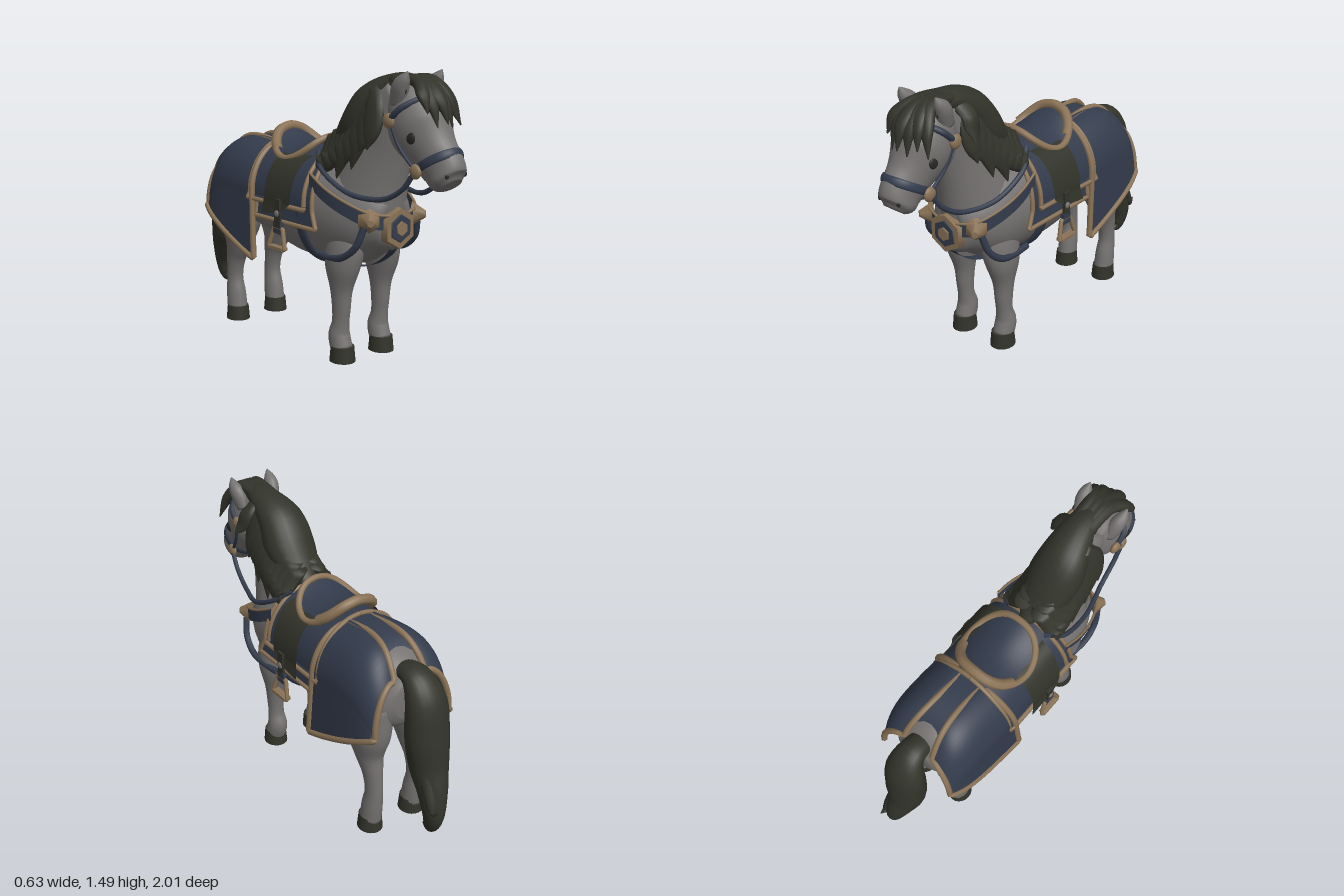
import * as THREE from 'three';
import { ParametricGeometry } from 'three/addons/geometries/ParametricGeometry.js';

const V3 = (x, y, z) => new THREE.Vector3(x, y, z);
const material = (name, color, side = THREE.FrontSide) =>
  Object.assign(new THREE.MeshStandardMaterial({ color, side }), { name });

// Smooth skin over elliptical sections [x, y, z, half width, half depth], square to the path in the yz plane
function loft(sections, { steps = 6, sides = 20 } = {}) {
  const path = new THREE.CatmullRomCurve3(sections.map(s => V3(s[0], s[1], s[2])), false, 'catmullrom');
  const size = new THREE.CatmullRomCurve3(sections.map(s => V3(s[3], s[4], 0)), false, 'catmullrom');
  const n = (sections.length - 1) * steps, pos = [], index = [];
  const rows = [[0, 0], ...Array.from({ length: n + 1 }, (_, i) => [i / n, 1]), [1, 0]];
  for (const [t, k] of rows) {
    const p = path.getPoint(t), r = size.getPoint(t), d = path.getTangent(t);
    const len = Math.hypot(d.y, d.z) || 1;
    for (let j = 0; j < sides; j++) {
      const a = j / sides * Math.PI * 2, c = Math.cos(a) * Math.max(r.x, 0) * k, s = Math.sin(a) * Math.max(r.y, 0) * k;
      pos.push(p.x + c, p.y + s * d.z / len, p.z - s * d.y / len);
    }
  }
  for (let i = 0; i < rows.length - 1; i++) for (let j = 0; j < sides; j++) {
    const a = i * sides + j, b = i * sides + (j + 1) % sides;
    index.push(a, b, a + sides, b, b + sides, a + sides);
  }
  const g = new THREE.BufferGeometry();
  g.setAttribute('position', new THREE.Float32BufferAttribute(pos, 3));
  g.setIndex(index);
  g.computeVertexNormals();
  return g;
}

const tube = (points, r, closed = false, tension = 0.5, segs = 60) =>
  new THREE.TubeGeometry(new THREE.CatmullRomCurve3(points, closed, 'catmullrom', tension), segs, r, 8, closed);

// Flat strap wrapped round an oval of half width rx and half height ry
const wrap = (rx, ry, halfWidth) => new THREE.TorusGeometry(1, .07, 10, 48).scale(rx, ry, halfWidth / .07);

// Cloth hanging over one side: u runs front to back, t from the spine to the hem
const drape = ({ s, x0, w, top, drop, hem, zf, zr, taper = 0 }) => (u, t, out) => {
  const a = Math.min(t * 2, 1) * Math.PI / 2, crown = top(u), inner = x0(u);
  const x = inner + (w - inner) * Math.sin(a) * (1 - taper * u ** 6) + Math.max(t - 0.5, 0) * 0.02;
  const y = t <= 0.5 ? crown - drop * (1 - Math.cos(a)) : THREE.MathUtils.lerp(crown - drop, hem(u), t * 2 - 1);
  return out.set(s * x, y, THREE.MathUtils.lerp(zf(t), zr(t), u));
};

export function createModel() {
  const grey = material('coat grey', 0x757271);
  const dark = material('dark hair and leather', 0x32332a, THREE.DoubleSide);
  const blue = material('navy cloth', 0x333b4c, THREE.DoubleSide);
  const tan = material('tan trim', 0x8a7256);
  const black = material('eye black', 0x292928);
  const horse = new THREE.Group();
  horse.name = 'horse';
  const add = (name, geo, mat, p) => {
    const m = new THREE.Mesh(geo, mat);
    m.name = name;
    if (p) m.position.set(...p);
    horse.add(m);
    return m;
  };
  const ball = (name, mat, r, p, scale) => add(name, new THREE.SphereGeometry(r, 16, 12), mat, p).scale.set(...scale);

  // Body, neck and head
  add('torso', loft([[0, .8, -.7, .09, .1], [0, .8, -.64, .19, .18], [0, .81, -.5, .235, .24], [0, .8, -.3, .235, .245],
    [0, .765, -.05, .235, .28], [0, .76, .15, .235, .28], [0, .75, .35, .22, .26], [0, .74, .48, .18, .2],
    [0, .72, .57, .11, .13], [0, .72, .6, .05, .06]], { sides: 32 }), grey);
  add('neck', loft([[0, .78, .36, .19, .24], [0, .95, .42, .155, .2], [0, 1.12, .49, .125, .165],
    [0, 1.28, .56, .11, .14], [0, 1.38, .64, .09, .1]], { sides: 28 }), grey);
  add('head', loft([[0, 1.41, .63, .08, .08], [0, 1.33, .69, .125, .13], [0, 1.22, .745, .138, .165], [0, 1.12, .83, .105, .125],
    [0, 1.05, .895, .088, .115], [0, 1, .925, .085, .092], [0, .975, .945, .055, .05]], { sides: 28 }), grey);

  // Mane core along the crest, and the tail
  add('maneCore', loft([[.01, 1.41, .76, .05, .035], [.02, 1.415, .6, .08, .06], [0, 1.33, .45, .125, .1], [0, 1.2, .36, .14, .115],
    [0, 1.1, .24, .1, .07], [0, 1.06, .14, .03, .02]]), dark);
  add('tail', loft([[0, .95, -.62, .06, .04], [0, .945, -.73, .08, .06], [-.01, .84, -.795, .11, .085], [-.01, .66, -.815, .115, .1],
    [-.015, .5, -.835, .1, .1], [-.005, .38, -.885, .075, .085], [.01, .26, -.92, .05, .065], [.01, .17, -.9, .03, .04],
    [.01, .15, -.85, .004, .004]]), dark);
  add('tailCurl', loft([[.02, .5, -.86, .05, .05], [.04, .37, -.93, .035, .03], [.05, .31, -.96, .02, .02], [.05, .33, -1, .002, .002]]), dark);

  // Forelock strands fanning over the brow
  for (let i = 0; i < 6; i++) {
    const x = (i - 2.1) * .038, drop = [-.02, .05, .03, .05, .02, .05][i];
    add('forelockStrand', loft([[x * .4 + .01, 1.43, .58, .035, .03], [x * .5 + .01, 1.44, .74, .038, .03],
      [x * .95, 1.38 - drop * .4, .862 - Math.abs(x) * .4, .038, .026],
      [x * 1.25 + .01, 1.285 - drop, .915 - Math.abs(x) * .5, .003, .003]], { sides: 10 }), dark);
  }
  add('templeStrand', loft([[.05, 1.42, .58, .04, .04], [.13, 1.36, .57, .03, .05], [.16, 1.29, .58, .02, .045], [.2, 1.24, .6, .002, .003]], { sides: 10 }), dark);

  for (const s of [-1, 1]) {
    // Strands down each side of the neck
    for (let i = 0; i < 8; i++) {
      const k = i / 7, z = .52 - .29 * k, y = 1.39 - .25 * k - .06 * k * (1 - k), tip = [.03, .04, -.03, .01, -.05, .03, 0, .03][i];
      add('maneStrand', loft([[s * .05, y + .01, z - .03, .045, .05], [s * (.1 + .03 * k), y - .09, z + .01 * (1 - k), .034, .07],
        [s * (.13 + .03 * k), y - .2 + .07 * k, z + .02 - .03 * k, .026, .06],
        [s * (.155 + .02 * k), y - .31 + .13 * k + tip, z + .02 - .07 * k, .002, .003]], { sides: 10 }), dark);
    }

    // Ears
    add('ear', loft([[s * .092, 1.33, .68, .034, .045], [s * .105, 1.41, .71, .04, .046], [s * .112, 1.455, .742, .028, .03],
      [s * .113, 1.49, .765, .003, .003]], { sides: 14 }), grey);
    ball('innerEar', black, .02, [s * .11, 1.415, .748], [.5, 1.4, .4]);

    // Eyes and nostrils
    ball('eye', black, .028, [s * .122, 1.19, .8], [.35, 1, 1]);
    ball('nostril', black, .014, [s * .06, 1.03, .972], [.8, 1, .6]);

    // Legs and hooves
    add('frontLeg', loft([[s * .1, .74, .36, .06, .08], [s * .118, .62, .355, .082, .115], [s * .133, .5, .345, .076, .105], [s * .135, .38, .34, .054, .065],
      [s * .135, .28, .34, .045, .052], [s * .135, .2, .335, .044, .047], [s * .135, .13, .325, .054, .06], [s * .135, .06, .345, .055, .06]]), grey);
    add('backLeg', loft([[s * .13, .75, -.52, .11, .16], [s * .135, .58, -.54, .1, .14], [s * .135, .46, -.555, .07, .09],
      [s * .135, .36, -.585, .05, .062], [s * .135, .25, -.6, .043, .052], [s * .135, .15, -.59, .052, .06], [s * .135, .06, -.58, .055, .062]]), grey);
    for (const z of [.35, -.575])
      add('hoof', new THREE.CylinderGeometry(.058, .065, .08, 20), dark, [s * .135, .04, z]).scale.z = 1.1;

    // Rump cloth, saddle cloths and saddle flap: name, colour, shape, trim radius, trim start, trim all round
    const cloths = [
      ['rumpCloth', blue, { x0: u => .06 + .035 * u ** 3, w: .266, top: u => 1.09 - .16 * u ** 5 - .04 * (1 - u) ** 2, drop: .26,
        hem: u => .45 + .215 * u ** 1.2, zf: t => -.26 + .04 * t, zr: t => -.675 - .045 * Math.sin(Math.min(t * 1.6, 1) * Math.PI / 2), taper: .22 }, .016, 0, true],
      ['lowerSaddleCloth', blue, { x0: () => 0, w: .245, top: () => 1.06, drop: .29, hem: () => .685, zf: t => .2 + .08 * t, zr: () => -.22 }, .012, .2, false],
      ['upperSaddleCloth', blue, { x0: () => 0, w: .256, top: u => 1.068 + .012 * u, drop: .28, hem: () => .775, zf: t => .17 + .03 * t, zr: t => -.27 - .01 * t }, .012, 0, false],
      ['saddleFlap', dark, { x0: () => .13, w: .281, top: () => 1.03, drop: .24, hem: u => .72 + .04 * (1 - u) ** 2, zf: t => .13 - .06 * t, zr: t => -.1 - .03 * t }, 0, 0, false],
    ];
    for (const [name, mat, spec, r, from, allRound] of cloths) {
      const f = drape({ s, ...spec });
      add(name, new ParametricGeometry(f, 20, 28), mat);
      if (!r) continue;
      const edge = [];
      for (let i = 0; i <= 14; i++) edge.push(f(0, from + (1 - from) * i / 14, V3()));
      for (let i = 1; i <= 14; i++) edge.push(f(i / 14, 1, V3()));
      for (let i = 1; i <= 14; i++) edge.push(f(1, 1 - (1 - from) * i / 14, V3()));
      if (allRound) for (let i = 1; i < 14; i++) edge.push(f(1 - i / 14, 0, V3()));
      add(name + 'Trim', tube(edge, r, allRound, .5, 110), tan);
    }

    // Stirrup on its leather
    add('stirrupLeather', new THREE.BoxGeometry(.014, .15, .045), dark, [s * .289, .735, .015]);
    add('stirrupHanger', new THREE.BoxGeometry(.02, .06, .06), blue, [s * .286, .66, .015]);
    ball('buckle', grey, .018, [s * .296, .735, .015], [.5, 1, 1]);
    add('stirrup', tube([V3(s * .285, .655, .05), V3(s * .298, .555, .08), V3(s * .298, .555, -.05), V3(s * .285, .655, -.02)], .012, true, .1), tan);
    add('stirrupTread', new THREE.BoxGeometry(.04, .016, .12), tan, [s * .293, .555, .015]);

    // Breast collar side strap, stud and hanging strap
    const collar = new THREE.CatmullRomCurve3([V3(s * .06, .75, .607), V3(s * .15, .765, .57), V3(s * .215, .815, .45), V3(s * .237, .87, .32), V3(s * .23, .93, .2)]);
    add('breastStrap', new ParametricGeometry((u, v, out) => {
      collar.getPoint(u, out);
      out.y += (v - .5) * .07;
    }, 24, 2), blue);
    add('breastStrapTrim', tube(collar.getPoints(10).map(p => p.add(V3(0, .037, 0))), .007), tan);
    const stud = add('breastStud', new THREE.CylinderGeometry(.018, .062, .07, 6).rotateX(Math.PI / 2), tan, [s * .165, .765, .58]);
    stud.rotation.y = s * .65;
    add('hangingStrap', tube([V3(s * .18, .74, .555), V3(s * .2, .64, .52), V3(s * .21, .575, .44), V3(s * .2, .55, .34), V3(s * .19, .55, .22)], .018), blue);

    // Bridle cheek pieces and reins
    ball('bitRosette', tan, .036, [s * .103, 1.035, .815], [.5, 1, 1]);
    ball('browRosette', tan, .036, [s * .142, 1.26, .675], [.55, 1, 1]);
    add('cheekStrap', tube([V3(s * .1, 1.04, .81), V3(s * .123, 1.14, .73), V3(s * .135, 1.25, .68)], .009), blue);
    add('rein', tube([V3(s * .105, 1.03, .81), V3(s * .115, .94, .74), V3(s * .135, .88, .62), V3(s * .182, .89, .44), V3(s * .19, .98, .25), V3(s * .13, 1.06, .15)], .013), blue);
  }

  // Bridle bands around the head
  add('noseband', wrap(.1, .117, .022).rotateX(1.05), blue, [0, 1.077, .867]);
  add('browBand', tube([V3(-.142, 1.26, .675), V3(-.125, 1.33, .75), V3(0, 1.38, .82), V3(.125, 1.33, .75), V3(.142, 1.26, .675)], .016), blue);

  // Hexagonal breast plate
  for (const [name, r, z, d, mat] of [['breastPlate', .108, .602, .04, tan], ['breastPlateInset', .073, .624, .008, blue], ['breastPlateBoss', .038, .63, .012, tan]])
    add(name, new THREE.CylinderGeometry(r * .94, r, d, 6).rotateX(Math.PI / 2), mat, [0, .72, z]);

  // Girth and the strap running to it between the front legs
  add('girth', wrap(.235, .275, .034), blue, [0, .75, .13]);
  const under = new THREE.CatmullRomCurve3([V3(0, .66, .605), V3(0, .58, .55), V3(0, .5, .43), V3(0, .47, .3), V3(0, .462, .13)]);
  add('chestStrap', new ParametricGeometry((u, v, out) => {
    under.getPoint(u, out);
    out.x = (v - .5) * .06;
  }, 20, 2), blue);

  // Cloth strip along the croup
  add('croupStrip', new ParametricGeometry((u, v, out) =>
    out.set((v - .5) * .17, 1.062 + .02 * Math.sin(u * Math.PI) - .08 * u ** 5, -.24 - .38 * u), 14, 4), blue);

  // Saddle seat: dished and squared off, with raised front and back and a thick rim
  const seat = (a, k) => {
    const c = Math.cos(a), n = Math.sin(a), back = n < 0, wide = Math.sign(c) * Math.abs(c) ** .75;
    return V3(.183 * k * wide, 1.083 - .08 * (k * wide) ** 2 + (back ? .065 : .04) * (k * n) ** 2, -.06 + (back ? .195 : .17) * k * n);
  };
  add('saddleSeat', new ParametricGeometry((u, v, out) => out.copy(seat(u * Math.PI * 2, .002 + .998 * v)), 40, 8), blue);
  const ring = Array.from({ length: 32 }, (_, i) => seat(i / 32 * Math.PI * 2, 1));
  add('saddleRim', tube(ring, .018, true, .5, 80), tan);
  const cantle = Array.from({ length: 9 }, (_, i) => seat(Math.PI * (1.15 + .7 * i / 8), .96));
  add('cantle', tube(cantle, .028), tan);
  return horse;
}
